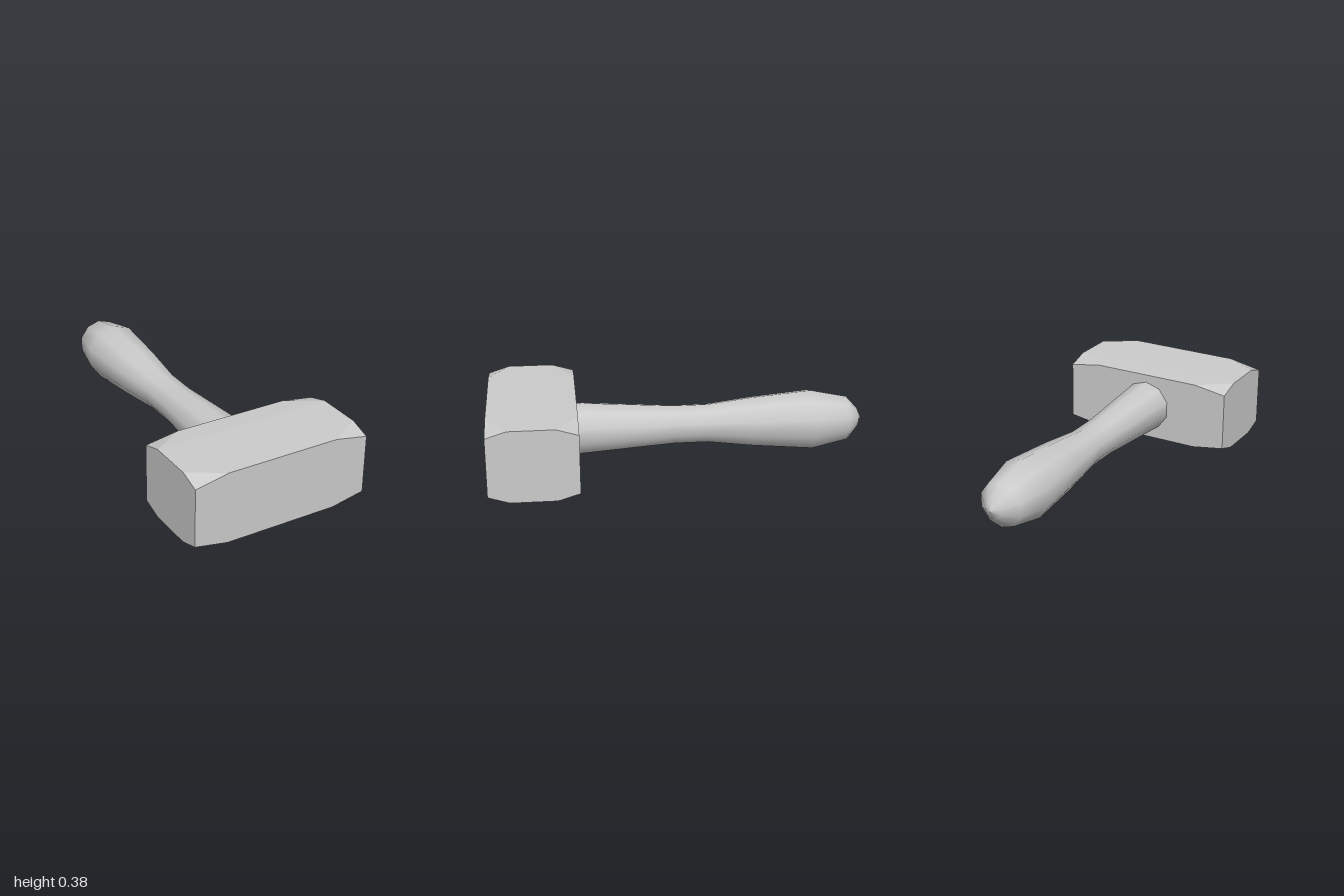
import * as THREE from 'three';
import { ConvexGeometry } from 'three/addons/geometries/ConvexGeometry.js';

const CENTER_Y = 0.1925;

export function createModel() {
  const model = new THREE.Group();
  model.name = 'mallet';

  // Head: a block with its eight corners cut off, back edges slightly lowered
  const corners = [];
  for (const sx of [-1, 1]) {
    for (const sy of [-1, 1]) {
      const add = (x, y, z) => corners.push(new THREE.Vector3(sx * x, CENTER_Y + sy * y, z));
      // front corner
      add(0.485, 0.1575, 1);
      add(0.305, 0.1925, 1);
      add(0.485, 0.1925, 0.89);
      // back corner
      add(0.485, 0.1575, 0.535);
      add(0.305, 0.186, 0.535);
      add(0.485, 0.1925, 0.65);
    }
  }
  const head = new THREE.Mesh(
    new ConvexGeometry(corners),
    new THREE.MeshStandardMaterial({ color: 0xcccccc, flatShading: true })
  );
  head.name = 'head';
  model.add(head);

  // Handle: ten-sided turned grip, as [radius, z] from the head to the rounded tip
  const profile = [
    [0, 0.6], [0.145, 0.6], [0.141, 0.535], [0.105, 0.02], [0.105, -0.16],
    [0.135, -0.4], [0.163, -0.72], [0.121, -0.915], [0.05, -0.978], [0, -1],
  ].map(([r, z]) => new THREE.Vector2(r, -z));
  const handleGeometry = new THREE.LatheGeometry(profile, 10);
  handleGeometry.rotateX(-Math.PI / 2);
  const handle = new THREE.Mesh(
    handleGeometry,
    new THREE.MeshStandardMaterial({ color: 0xcccccc })
  );
  handle.name = 'handle';
  handle.position.y = CENTER_Y + 0.002;
  model.add(handle);

  return model;
}
